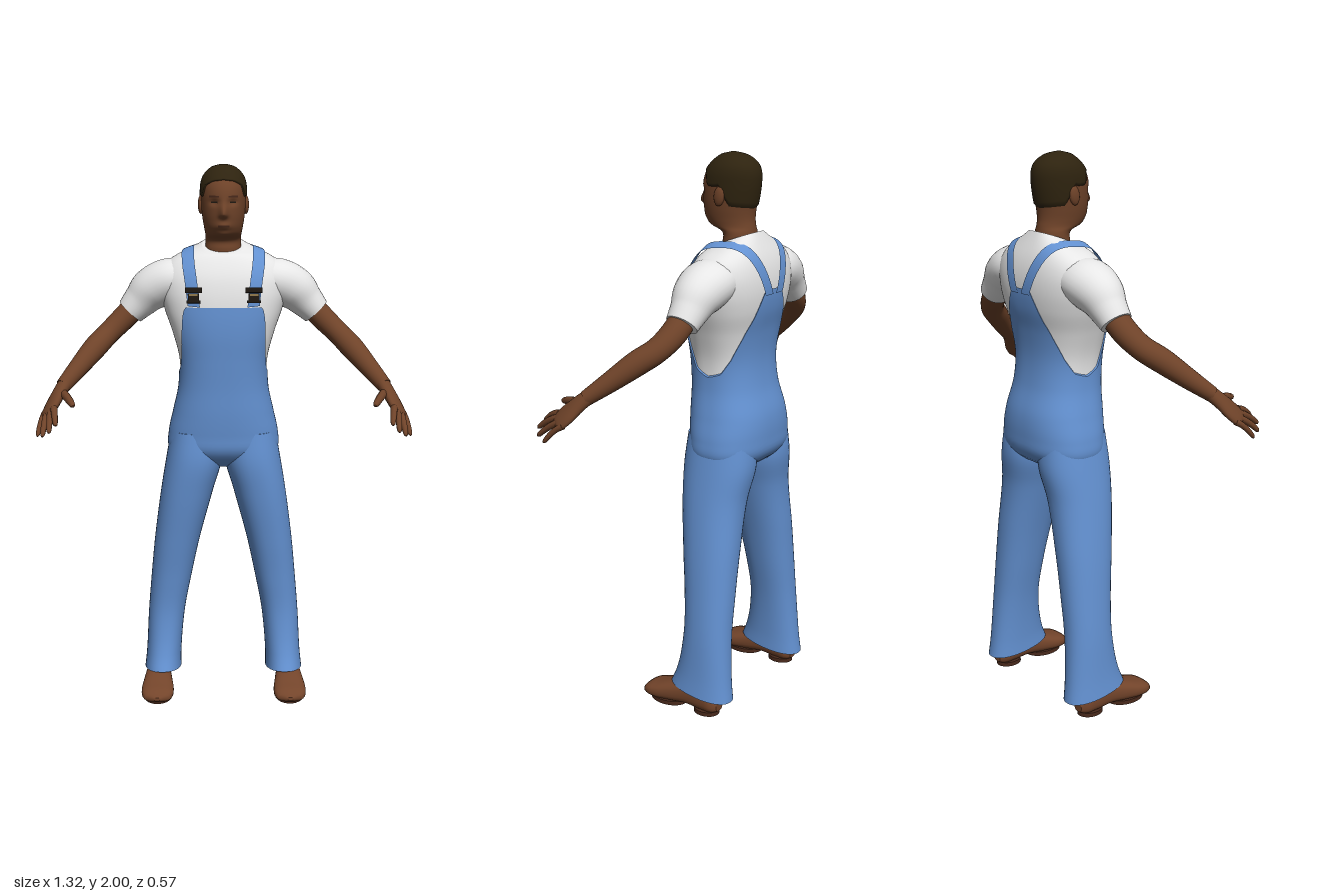
import * as THREE from 'three';

const mat = (name, color, side = THREE.FrontSide) => {
  const m = new THREE.MeshStandardMaterial({ color, side });
  m.name = name;
  return m;
};
const curve = (rows) => { // rows of [t, a, b, ...] -> smooth function of t
  const n = rows[0].length - 1;
  const c = new THREE.CubicInterpolant(rows.map((r) => r[0]), rows.flatMap((r) => r.slice(1)), n);
  return (t) => [...c.evaluate(t)];
};
const linear = (keys, t) => { // piecewise straight lookup
  let i = 0;
  while (i < keys.length - 2 && t > keys[i + 1][0]) i++;
  const [a, b] = [keys[i], keys[i + 1]];
  return a[1] + (b[1] - a[1]) * THREE.MathUtils.clamp((t - a[0]) / (b[0] - a[0]), 0, 1);
};
// Closed rings f(angle, v) stacked from v = 0 to 1, with flat end caps
function loft(f, around, rows) {
  const rings = [];
  for (let j = 0; j <= rows; j++) {
    rings.push(Array.from({ length: around }, (_, i) => f((i / around) * Math.PI * 2, j / rows)));
  }
  const centre = (ring) => {
    const c = [0, 1, 2].map((k) => ring.reduce((s, p) => s + p[k], 0) / around);
    return ring.map(() => c);
  };
  const last = rings[rows];
  const all = [centre(rings[0]), rings[0], ...rings, last, centre(last)];
  const index = [];
  for (let j = 0; j < all.length - 1; j++) {
    for (let i = 0; i < around; i++) {
      const a = j * around + i, b = j * around + ((i + 1) % around);
      index.push(a, a + around, b, b, a + around, b + around);
    }
  }
  const g = new THREE.BufferGeometry();
  g.setAttribute('position', new THREE.Float32BufferAttribute(all.flat(2), 3));
  g.setIndex(index);
  g.computeVertexNormals();
  return g;
}
// Oval limb through rows of [x, y, z, r1, r2]; r1 lies along ref
function limb(pts, ref = [0, 0, 1], around = 20, rows = 20) {
  const c = curve(pts.map((p, i) => [i / (pts.length - 1), ...p]));
  const pos = (v) => new THREE.Vector3(...c(v).slice(0, 3));
  return loft((a, v) => {
    const [, , , r1, r2] = c(v);
    const t = pos(Math.min(v + 0.02, 1)).sub(pos(Math.max(v - 0.02, 0))).normalize();
    const n1 = new THREE.Vector3(...ref);
    n1.addScaledVector(t, -n1.dot(t)).normalize();
    const n2 = n1.clone().cross(t);
    return pos(v).addScaledVector(n1, r1 * Math.cos(a)).addScaledVector(n2, r2 * Math.sin(a)).toArray();
  }, around, rows);
}
function mirrored(geo) {
  const g = geo.clone().scale(-1, 1, 1), ix = g.index.array;
  for (let i = 0; i < ix.length; i += 3) [ix[i], ix[i + 1]] = [ix[i + 1], ix[i]];
  return g;
}
const pw = (v, e) => Math.sign(v) * Math.abs(v) ** e;
const fromFront = (a) => Math.acos(THREE.MathUtils.clamp(Math.sin(a), -1, 1));

// Torso: y, half width, front z, back z, collar tilt
const ROUND = 2.4;
const torso = curve([
  [0.89, 0.08, -0.09, -0.18, 0], [0.92, 0.17, -0.04, -0.235, 0], [0.96, 0.2, -0.008, -0.272, 0],
  [1.02, 0.2, 0, -0.28, 0], [1.1, 0.183, 0.006, -0.276, 0], [1.2, 0.162, 0.008, -0.25, 0],
  [1.3, 0.162, 0.013, -0.24, 0], [1.4, 0.187, 0.018, -0.25, 0], [1.48, 0.215, 0.015, -0.268, 0],
  [1.55, 0.232, 0.006, -0.274, 0], [1.61, 0.23, -0.012, -0.268, 0], [1.66, 0.195, -0.04, -0.253, 0],
  [1.69, 0.14, -0.058, -0.235, 0.008], [1.712, 0.077, -0.066, -0.214, 0.027],
]);
function torsoPoint(a, y, grow = 0) {
  const [hx, zf, zb, tilt] = torso(y);
  const e = 2 / ROUND, s = pw(Math.sin(a), e);
  return [(hx + grow) * pw(Math.cos(a), e), y - tilt * s, (zf + zb) / 2 + ((zf - zb) / 2 + grow) * s];
}
const inTorso = (x, y, z) => {
  if (y > 1.712) return false;
  const [hx, zf, zb] = torso(y);
  return Math.abs(x / hx) ** ROUND + Math.abs((z - (zf + zb) / 2) / ((zf - zb) / 2)) ** ROUND < 1;
};

// Head: y, half width, front z, back z
const head = curve([
  [1.64, 0.072, -0.07, -0.205], [1.7, 0.066, -0.08, -0.198], [1.738, 0.064, -0.07, -0.195],
  [1.752, 0.065, -0.03, -0.193], [1.775, 0.069, -0.008, -0.19], [1.81, 0.075, 0.001, -0.192],
  [1.85, 0.079, 0.004, -0.2], [1.9, 0.08, 0.003, -0.207], [1.935, 0.077, -0.01, -0.206],
  [1.96, 0.067, -0.03, -0.195], [1.98, 0.048, -0.055, -0.17], [1.99, 0.03, -0.075, -0.145],
  [1.995, 0.008, -0.1, -0.118],
]);
const bump = (d, w) => Math.exp(-((d / w) ** 2));
function headPoint(a, y, grow = 0) {
  const [hx, zf, zb] = head(y);
  const x = (hx + grow) * Math.cos(a), s = Math.sin(a), ax = Math.abs(x);
  let z = (zf + zb) / 2 + ((zf - zb) / 2 + grow) * s;
  if (s > 0) {
    z += 0.026 * bump(x, 0.014) * bump(y - 1.828, y > 1.828 ? 0.034 : 0.012); // nose
    z += 0.007 * bump(x, 0.024) * bump(y - 1.786, 0.012); // mouth
    z += 0.006 * bump(x, 0.025) * bump(y - 1.757, 0.01); // chin
    z -= 0.009 * bump(ax - 0.033, 0.017) * bump(y - 1.87, 0.012); // eye sockets
  }
  return [x, y, z];
}

export function createModel() {
  const skin = mat('skin', 0x6f4329), hair = mat('hair', 0x2e230f), shirt = mat('shirt white', 0xe6e6e6);
  const denim = mat('overall blue', 0x6391d1, THREE.DoubleSide), leather = mat('shoe brown', 0x74452b);
  const dark = mat('dark fittings', 0x1e1811), brass = mat('brass', 0x8a7448), feature = mat('face detail', 0x4a2a1c);
  const model = new THREE.Group();
  const add = (name, geo, material) => {
    const m = new THREE.Mesh(geo, material);
    m.name = name;
    model.add(m);
  };
  const pair = (name, geo, material) => {
    add('left ' + name, geo, material);
    add('right ' + name, mirrored(geo), material);
  };

  // Head, hair and face
  add('head and neck', loft((a, v) => headPoint(a, 1.64 + 0.355 * v), 88, 90), skin);
  const hairline = [[0, 1.945], [0.5, 1.94], [0.9, 1.925], [1.1, 1.885], [1.45, 1.885], [1.6, 1.89],
    [1.8, 1.85], [2.0, 1.82], [Math.PI, 1.81]];
  add('hair', loft((a, v) => {
    const low = linear(hairline, fromFront(a));
    const p = headPoint(a, low + (1.995 - low) * Math.sin(v * Math.PI / 2), v === 0 ? -0.004 : 0.005);
    p[1] += 0.005 * v;
    return p;
  }, 72, 24), hair);
  pair('ear', new THREE.SphereGeometry(1, 14, 10).scale(0.011, 0.034, 0.021).rotateX(-0.15).translate(0.081, 1.858, -0.105), skin);
  const plate = (x, y, w, h) => { // thin patch that follows the face
    const g = new THREE.PlaneGeometry(w, h, 6, 2).translate(x, y, 0), p = g.attributes.position;
    for (let i = 0; i < p.count; i++) {
      const a = Math.acos(p.getX(i) / head(p.getY(i))[0]);
      p.setZ(i, headPoint(a, p.getY(i))[2] + 0.002);
    }
    g.computeVertexNormals();
    return g;
  };
  pair('eyebrow', plate(0.034, 1.89, 0.034, 0.006), feature);
  pair('eye', plate(0.033, 1.87, 0.022, 0.006), dark);
  add('lips', plate(0, 1.786, 0.04, 0.007), feature);

  // Shirt
  add('shirt body', loft((a, v) => torsoPoint(a, 1.12 + 0.592 * v), 72, 50), shirt);
  pair('shirt sleeve', limb([[0.13, 1.59, -0.14, 0.095, 0.072], [0.2, 1.58, -0.142, 0.098, 0.083],
    [0.262, 1.55, -0.142, 0.085, 0.08], [0.305, 1.508, -0.142, 0.067, 0.065],
    [0.343, 1.468, -0.14, 0.058, 0.053]], [0, 0, 1], 28, 24), shirt);

  // Overalls: bib and seat, with the cut line given by angle from the front
  const cut = [[0, 1.5], [0.6, 1.5], [0.68, 1.47], [0.95, 1.36], [1.25, 1.27], [1.57, 1.245], [1.9, 1.26],
    [2.2, 1.31], [2.5, 1.38], [2.75, 1.45], [3.0, 1.55], [Math.PI, 1.55]];
  add('overalls bib and seat', loft((a, v) => torsoPoint(a, 0.89 + (linear(cut, fromFront(a)) - 0.89) * v, 0.005), 120, 44), denim);
  // Trouser legs: y, inner x, outer x, front z, back z
  const leg = curve([
    [0.075, 0.165, 0.306, -0.018, -0.27], [0.13, 0.165, 0.3, -0.038, -0.262], [0.3, 0.15, 0.29, -0.066, -0.25],
    [0.45, 0.122, 0.277, -0.058, -0.248], [0.6, 0.09, 0.262, -0.038, -0.248], [0.8, 0.037, 0.235, -0.01, -0.25],
    [0.92, 0.004, 0.215, 0, -0.268], [1.03, 0.01, 0.195, -0.01, -0.262],
  ]);
  pair('trouser leg', loft((a, v) => {
    const y = 0.075 + 0.955 * v, [xi, xo, zf, zb] = leg(y), s = pw(Math.sin(a), 0.9);
    const tilt = 0.016 * Math.max(0, 1 - v * 8);
    return [(xi + xo) / 2 + (xo - xi) / 2 * pw(Math.cos(a), 0.9), y + tilt * s, (zf + zb) / 2 + (zf - zb) / 2 * s];
  }, 40, 44), denim);

  // Shoulder straps, laid over the torso by angle in the side plane
  const strapX = curve([0.107, 0.117, 0.127, 0.127, 0.105, 0.065, 0.03].map((x, i) => [i / 6, x]));
  const strap = new THREE.PlaneGeometry(1, 1, 4, 48), sp = strap.attributes.position;
  for (let i = 0; i < sp.count; i++) {
    const t = sp.getY(i) + 0.5, x = strapX(t)[0] + sp.getX(i) * 0.044;
    const a = -0.3 + t * (Math.PI + 0.42);
    let lo = 0, hi = 0.3;
    for (let k = 0; k < 24; k++) {
      const r = (lo + hi) / 2;
      if (inTorso(x, 1.55 + r * Math.sin(a), -0.14 + r * Math.cos(a))) lo = r; else hi = r;
    }
    const r = lo + 0.009;
    sp.setXYZ(i, x, 1.55 + r * Math.sin(a), -0.14 + r * Math.cos(a));
  }
  strap.computeVertexNormals();
  pair('strap', strap, denim);

  // Buckles
  const box = (w, h, d, y, z) => new THREE.BoxGeometry(w, h, d).translate(0, y, z).rotateX(-0.15).translate(0.108, 1.545, 0.013);
  pair('buckle bar', box(0.06, 0.018, 0.012, 0.018, 0), dark);
  pair('buckle body', box(0.04, 0.03, 0.01, -0.008, 0), dark);
  pair('buckle clasp', box(0.03, 0.008, 0.012, 0.001, 0.002), brass);
  pair('buckle foot', box(0.05, 0.01, 0.012, -0.023, 0), dark);

  // Arms and hands
  pair('arm', limb([[0.29, 1.525, -0.14, 0.046, 0.044], [0.36, 1.452, -0.13, 0.047, 0.044],
    [0.42, 1.395, -0.1, 0.044, 0.041], [0.468, 1.348, -0.045, 0.043, 0.042], [0.522, 1.288, 0.022, 0.035, 0.035],
    [0.572, 1.232, 0.087, 0.026, 0.027]], [0, 0, 1], 24, 30), skin);
  const across = [-0.585, 0.41, 0.7];
  pair('palm', limb([[0.565, 1.24, 0.078, 0.026, 0.025], [0.585, 1.21, 0.11, 0.034, 0.022],
    [0.605, 1.175, 0.142, 0.043, 0.019], [0.62, 1.148, 0.166, 0.04, 0.015], [0.626, 1.138, 0.175, 0.03, 0.008]], across), skin);
  const finger = (name, a, b, r, bend = 0.009) => {
    const at = (t, k) => [0, 1, 2].map((i) => a[i] + (b[i] - a[i]) * t + (i === 1 ? bend * Math.sin(Math.PI * t) : 0)).concat(r * k, r * k);
    pair(name, limb([at(0, 1.1), at(0.33, 1), at(0.66, 0.9), at(0.92, 0.7), at(1, 0.25)], across, 10, 12), skin);
  };
  const tips = [['index finger', 0.582, 1.125, 0.265], ['middle finger', 0.604, 1.103, 0.278],
    ['ring finger', 0.63, 1.085, 0.256], ['little finger', 0.653, 1.076, 0.21]];
  tips.forEach(([name, ...tip], i) => {
    const k = 0.033 - 0.022 * i;
    finger(name, [0.615 + across[0] * k, 1.156 + across[1] * k, 0.16 + across[2] * k], tip, i === 3 ? 0.0105 : 0.012);
  });
  finger('thumb', [0.572, 1.212, 0.11], [0.523, 1.188, 0.233], 0.015, 0.004);

  // Shoes: z, half width, bottom y, top y
  const shoe = curve([[-0.232, 0.02, 0.02, 0.055], [-0.215, 0.037, 0.012, 0.085], [-0.17, 0.044, 0.01, 0.105],
    [-0.1, 0.046, 0.014, 0.105], [-0.03, 0.055, 0.008, 0.088], [0.03, 0.061, 0.006, 0.068],
    [0.065, 0.055, 0.009, 0.056], [0.085, 0.036, 0.016, 0.042], [0.09, 0.012, 0.022, 0.034]]);
  pair('shoe', loft((a, v) => {
    const z = -0.232 + 0.322 * v, [w, lo, hi] = shoe(z);
    return [0.252 - w * pw(Math.cos(a), 0.8), (lo + hi) / 2 + (hi - lo) / 2 * pw(Math.sin(a), 0.8), z];
  }, 28, 32), leather);
  const sole = (name, length, z, w) =>
    pair(name, new THREE.CylinderGeometry(1, 1, 0.016, 28).scale(w, 1, length).translate(0.252, 0.008, z), feature);
  sole('heel', 0.05, -0.175, 0.041);
  sole('sole', 0.075, -0.005, 0.054);

  return model;
}
